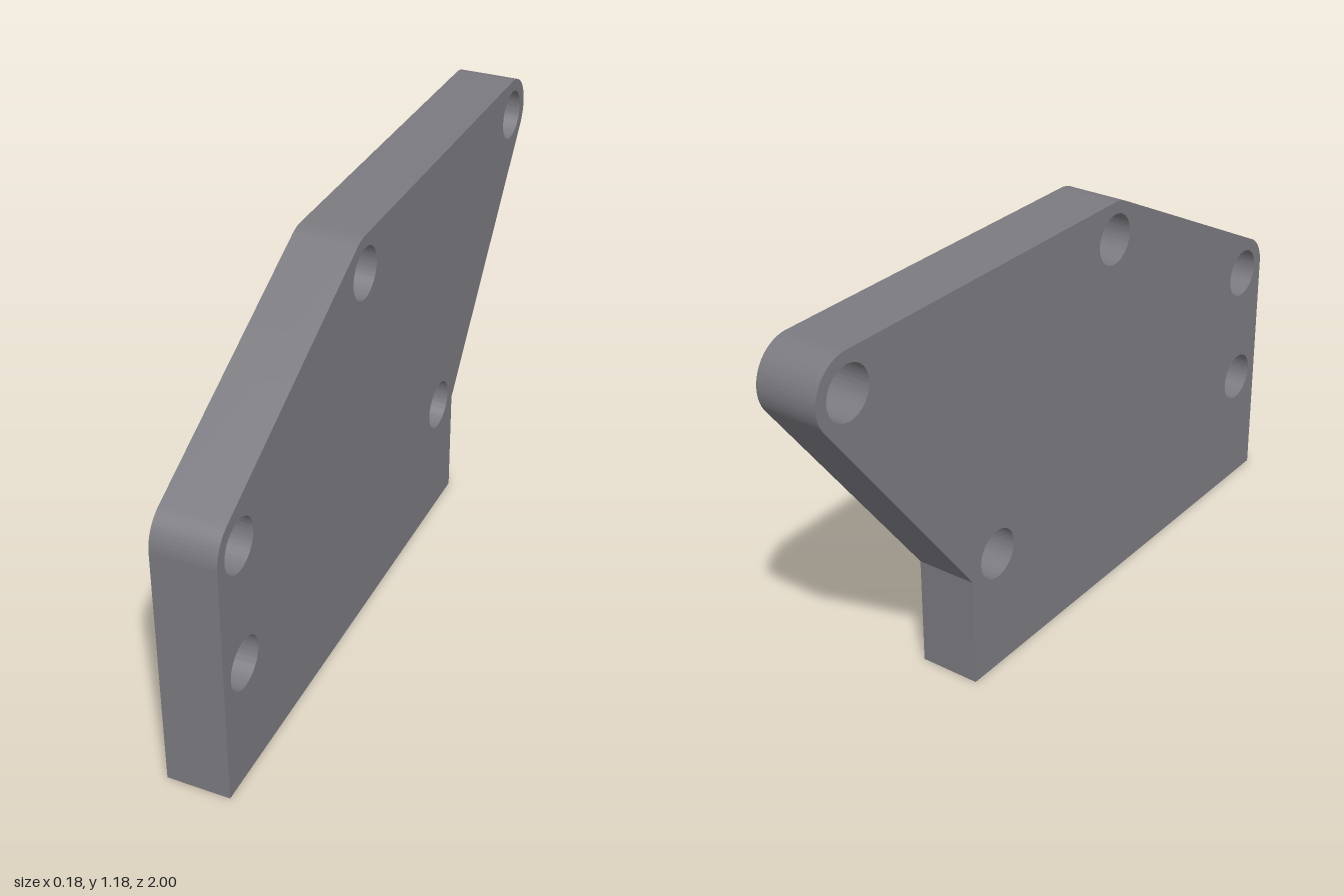
import * as THREE from 'three';
import { toCreasedNormals } from 'three/addons/utils/BufferGeometryUtils.js';

const THICKNESS = 0.178;
const HOLE_RADIUS = 0.072;
const CORNER_RADIUS = 0.107;

// Hole centres as [distance towards the back, height]
const frontLow = [-0.893, 0.357];
const frontHigh = [-0.893, 0.714];
const topMiddle = [-0.179, 1.071];
const backTip = [0.893, 1.071];
const backLow = [0.357, 0.357];

export function createModel() {
  const group = new THREE.Group();
  group.name = 'mountingPlate';

  // Side outline; three corners are rounded around their holes
  const outline = new THREE.Shape();
  const slope = Math.atan2(topMiddle[1] - frontHigh[1], topMiddle[0] - frontHigh[0]) + Math.PI / 2;
  const roundCorner = ([x, y], from, to) => outline.absarc(x, y, CORNER_RADIUS, from, to, false);
  outline.moveTo(-1, 0);
  outline.lineTo(0.464, 0);
  outline.lineTo(0.464, 0.322);
  roundCorner(backTip, -Math.atan2(3, 4), Math.PI / 2);
  roundCorner(topMiddle, Math.PI / 2, slope);
  roundCorner(frontHigh, slope, Math.PI);
  outline.closePath();

  // Through holes
  for (const [x, y] of [frontLow, frontHigh, topMiddle, backTip, backLow]) {
    const hole = new THREE.Path();
    hole.absarc(x, y, HOLE_RADIUS, 0, Math.PI * 2, true);
    outline.holes.push(hole);
  }

  // Extrude across the thickness and turn the outline into the y-z plane
  const geometry = new THREE.ExtrudeGeometry(outline, {
    depth: THICKNESS, bevelEnabled: false, curveSegments: 40,
  });
  geometry.translate(0, 0, -THICKNESS / 2);
  geometry.rotateY(Math.PI / 2);

  // Dark, slightly violet grey plate
  const plate = new THREE.Mesh(
    toCreasedNormals(geometry, 0.4),
    new THREE.MeshStandardMaterial({ color: 0x7b7a80 }),
  );
  plate.name = 'plate';
  group.add(plate);
  return group;
}
